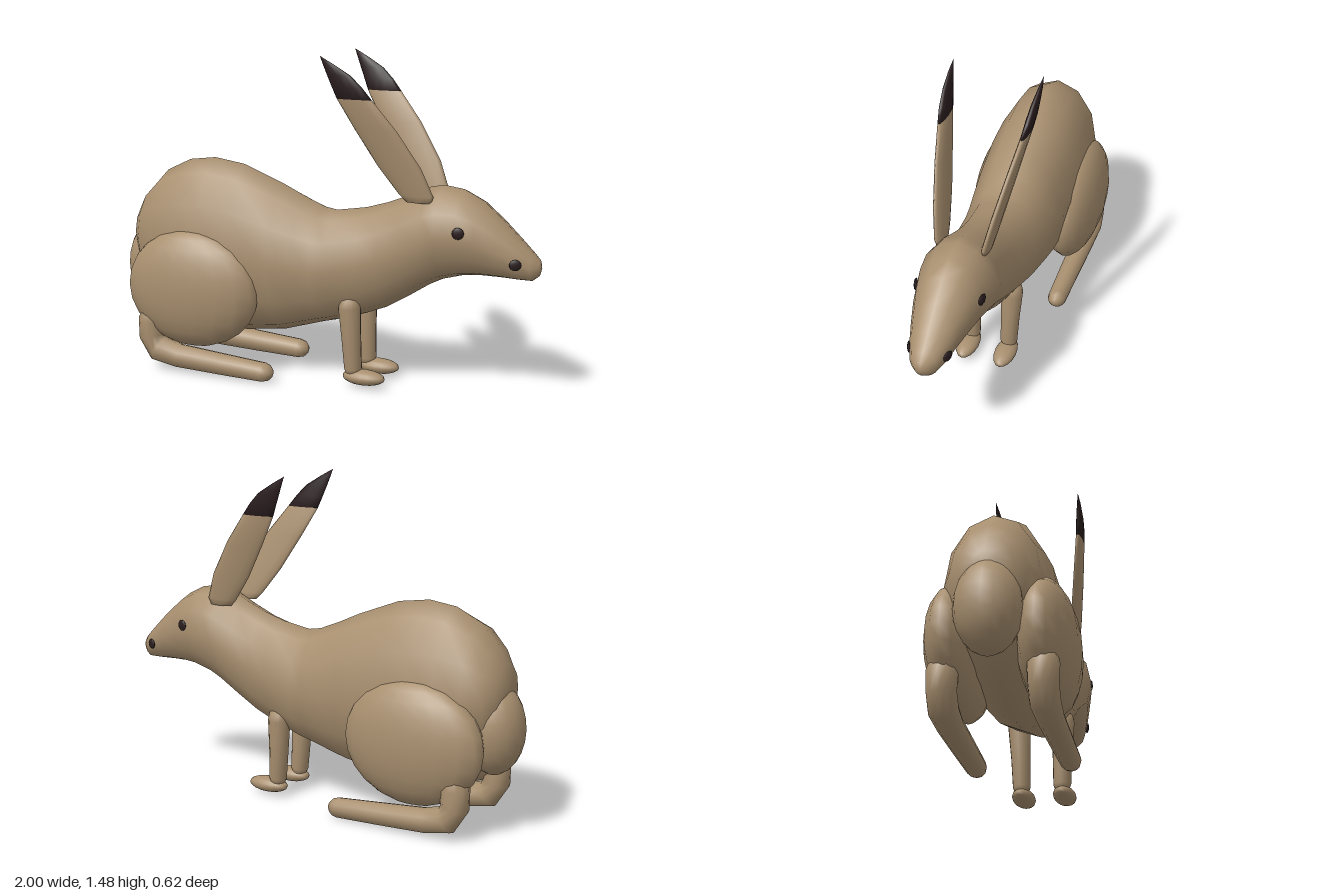
import * as THREE from 'three';

const material = (name, color) => Object.assign(new THREE.MeshStandardMaterial({ color }), { name });
const fur = material('tan fur', 0xa88f6f);
const dark = material('dark brown', 0x2a1d1e);
const V = (x, y, z) => new THREE.Vector3(x, y, z);

// Skin over elliptical rings { c, u, v }; the path runs along u x v. Ends close on poles.
function loft(sections, sides, startPole, endPole) {
  const pos = [], idx = [];
  for (const { c, u, v } of sections) {
    for (let i = 0; i < sides; i++) {
      const a = (i / sides) * Math.PI * 2;
      const p = c.clone().addScaledVector(u, Math.cos(a)).addScaledVector(v, Math.sin(a));
      pos.push(p.x, p.y, p.z);
    }
  }
  const n = sections.length, s = n * sides, e = s + 1, last = (n - 1) * sides;
  pos.push(...startPole.toArray(), ...endPole.toArray());
  for (let i = 0; i < sides; i++) {
    const j = (i + 1) % sides;
    for (let k = 0; k < n - 1; k++) {
      const a = k * sides, b = a + sides;
      idx.push(a + i, a + j, b + j, a + i, b + j, b + i);
    }
    idx.push(s, j, i, e, last + i, last + j);
  }
  const g = new THREE.BufferGeometry();
  g.setAttribute('position', new THREE.Float32BufferAttribute(pos, 3));
  g.setIndex(idx);
  g.computeVertexNormals();
  return g;
}

// Round limb through points [x, y, z, radius], bending in the side plane
function limb(points, sides = 12) {
  const tangent = (i) => {
    const a = points[Math.max(i - 1, 0)], b = points[Math.min(i + 1, points.length - 1)];
    return V(b[0] - a[0], b[1] - a[1], 0).normalize();
  };
  const sections = points.map(([x, y, z, r], i) => {
    const t = tangent(i);
    return { c: V(x, y, z), u: V(-t.y * r, t.x * r, 0), v: V(0, 0, r) };
  });
  const n = points.length - 1;
  const start = sections[0].c.clone().addScaledVector(tangent(0), -points[0][3] * 0.4);
  const end = sections[n].c.clone().addScaledVector(tangent(n), points[n][3] * 0.4);
  return loft(sections, sides, start, end);
}

// Ear slice from rows [y, back x, front x, z, half thickness]
const earSlice = (rows, side, endPole) => {
  const sections = rows.map(([y, x0, x1, z, t]) => ({
    c: V((x0 + x1) / 2, y, z * side), u: V(0, 0, t), v: V((x1 - x0) / 2, 0, 0),
  }));
  return loft(sections, 12, sections[0].c, endPole || sections[sections.length - 1].c);
};

export function createModel() {
  const model = new THREE.Group();
  model.name = 'hare';
  const add = (name, geometry, mat = fur) => {
    const m = new THREE.Mesh(geometry, mat);
    m.name = name;
    model.add(m);
    return m;
  };
  const ellipsoid = (name, p, r, mat = fur, ws = 18, hs = 12) => {
    const m = add(name, new THREE.SphereGeometry(1, ws, hs), mat);
    m.position.set(...p);
    m.scale.set(...r);
    return m;
  };

  // Body, neck and head as one skin: [x, bottom, top, half width]
  const body = [
    [-0.935, 0.6, 0.68, 0.05], [-0.92, 0.5, 0.75, 0.11], [-0.88, 0.4, 0.82, 0.16],
    [-0.8, 0.29, 0.91, 0.2], [-0.68, 0.22, 0.968, 0.217], [-0.55, 0.19, 0.985, 0.225],
    [-0.4, 0.18, 0.963, 0.224], [-0.2, 0.205, 0.885, 0.213], [-0.1, 0.235, 0.838, 0.203],
    [0, 0.265, 0.797, 0.19], [0.06, 0.28, 0.787, 0.183], [0.2, 0.325, 0.81, 0.165],
    [0.3, 0.365, 0.84, 0.155], [0.4, 0.425, 0.88, 0.158], [0.5, 0.49, 0.925, 0.165],
    [0.56, 0.52, 0.937, 0.165], [0.65, 0.545, 0.925, 0.153], [0.73, 0.553, 0.885, 0.135],
    [0.82, 0.553, 0.81, 0.11], [0.9, 0.55, 0.733, 0.086], [0.96, 0.55, 0.675, 0.06],
    [0.99, 0.575, 0.645, 0.03],
  ].map(([x, y0, y1, w]) => ({
    c: V(x, (y0 + y1) / 2, 0), u: V(0, (y1 - y0) / 2, 0), v: V(0, 0, w),
  }));
  add('body', loft(body, 12, V(-0.937, 0.64, 0), V(1, 0.61, 0)));

  ellipsoid('tail', [-0.87, 0.465, 0], [0.13, 0.2, 0.14]);

  for (const side of [1, -1]) {
    const label = side > 0 ? 'near' : 'far';

    // Hind leg: thigh, then hock and long foot
    ellipsoid(label + 'Thigh', [-0.58, 0.405, 0.185 * side], [0.33, 0.273, 0.125]);
    add(label + 'HindFoot', limb([
      [-0.77, 0.31, 0.2, 0.05], [-0.787, 0.24, 0.2, 0.066], [-0.79, 0.16, 0.2, 0.062],
      [-0.755, 0.1, 0.2, 0.062], [-0.65, 0.077, 0.2, 0.055], [-0.42, 0.063, 0.2, 0.05],
      [-0.22, 0.052, 0.2, 0.045], [-0.195, 0.051, 0.2, 0.038], [-0.179, 0.05, 0.2, 0.022],
    ].map(([x, y, z, r]) => [x, y, z * side, r])));

    // Front leg and paw
    add(label + 'FrontLeg', limb([
      [0.158, 0.425, 0.1, 0.025], [0.159, 0.405, 0.1, 0.044], [0.16, 0.37, 0.1, 0.051],
      [0.167, 0.22, 0.094, 0.044], [0.174, 0.09, 0.091, 0.04], [0.176, 0.06, 0.091, 0.03],
    ].map(([x, y, z, r]) => [x, y, z * side, r])));
    ellipsoid(label + 'FrontPaw', [0.225, 0.053, 0.092 * side], [0.1, 0.035, 0.05], fur, 16, 10);

    // Ear with dark tip
    const joint = [1.31, 0.13, 0.29, 0.181, 0.016];
    add(label + 'Ear', earSlice([
      [0.87, 0.42, 0.535, 0.1, 0.018], [0.9, 0.39, 0.545, 0.105, 0.019],
      [1.02, 0.3, 0.497, 0.127, 0.019], [1.18, 0.203, 0.395, 0.157, 0.017], joint,
    ], side));
    add(label + 'EarTip', earSlice([
      joint, [1.36, 0.11, 0.25, 0.188, 0.017], [1.41, 0.09, 0.2, 0.193, 0.014],
      [1.455, 0.073, 0.125, 0.197, 0.008],
    ], side, V(0.06, 1.49, 0.199 * side)), dark);

    // Eye and nostril
    const eye = ellipsoid(label + 'Eye', [0.67, 0.76, 0.147 * side], [0.026, 0.026, 0.008], dark, 12, 8);
    eye.rotation.y = 0.22 * side;
    const nostril = ellipsoid(label + 'Nostril', [0.905, 0.632, 0.085 * side], [0.026, 0.024, 0.008], dark, 12, 8);
    nostril.rotation.y = 0.36 * side;
  }
  return model;
}
